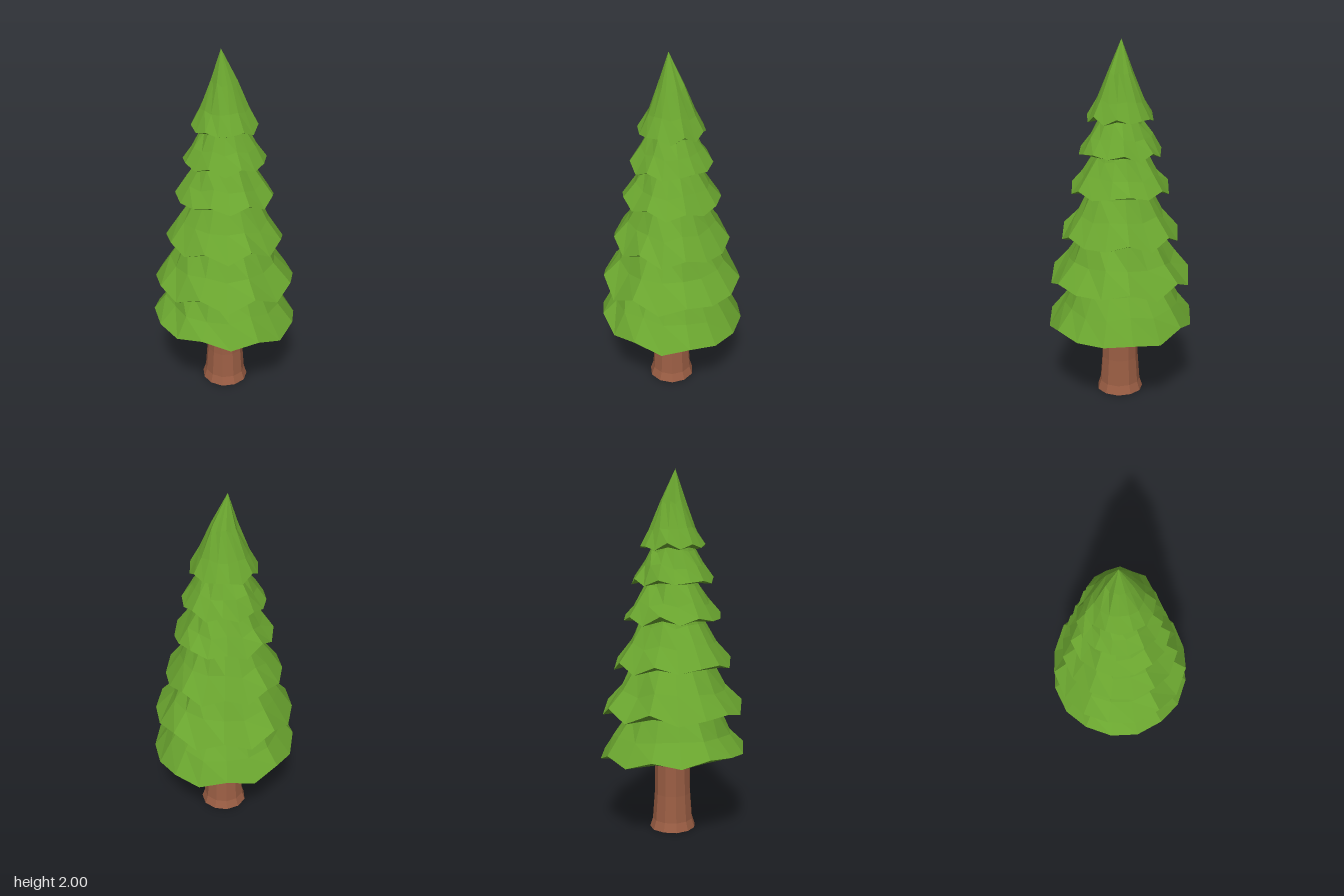
import * as THREE from 'three';

const SIDES = 16;

// Repeatable wobble in -1..1
function wobble(a, b) {
  const s = Math.sin(a * 12.99 + b * 78.23) * 43758.55;
  return (s - Math.floor(s)) * 2 - 1;
}

// Skin a stack of rings, listed from the top down; each ring is an array of Vector3
function skin(rings) {
  const n = rings[0].length;
  const pos = [];
  const tri = (a, b, c) => pos.push(...a, ...b, ...c);
  for (let r = 0; r < rings.length - 1; r++) {
    for (let i = 0; i < n; i++) {
      const j = (i + 1) % n;
      const a = rings[r][i], b = rings[r][j], c = rings[r + 1][i], d = rings[r + 1][j];
      if (a.distanceTo(b) > 1e-6) tri(a, d, b);
      if (c.distanceTo(d) > 1e-6) tri(a, c, d);
    }
  }
  const g = new THREE.BufferGeometry();
  g.setAttribute('position', new THREE.Float32BufferAttribute(pos, 3));
  g.computeVertexNormals();
  return g;
}

// Ring of points; angle runs from +z towards +x
function ring(n, offset, radius, height, cx = 0) {
  return Array.from({ length: n }, (_, i) => {
    const t = offset + (i / n) * Math.PI * 2;
    const r = radius(t, i);
    return new THREE.Vector3(cx + Math.sin(t) * r, height(t, i), Math.cos(t) * r);
  });
}

// One skirt of branches: wavy rim, folded-under lip and closed underside
function tierGeometry(t, k) {
  const offset = THREE.MathUtils.degToRad(t.turn);
  const wave = (a) => Math.cos(7 * a - Math.PI / 4) * t.wave - Math.sin(a) * t.tilt;
  const rings = [];
  t.upper.forEach(([r, y], q) => {
    rings.push(ring(SIDES, offset,
      (a, i) => r * (1 + 0.05 * wobble(i + q * 5, k)),
      (a, i) => y + (r > 0 ? wave(a) * 0.35 + 0.012 * wobble(i, k + q * 3) : 0),
      r > 0 ? 0 : -0.02));
  });
  rings.push(ring(SIDES, offset, () => t.r, (a, i) => t.y + wave(a) + 0.008 * wobble(i, k + 9)));
  rings.push(ring(SIDES, offset, () => t.r * 0.84, (a) => t.y - 0.01 + wave(a) * 0.4));
  rings.push(ring(SIDES, offset, () => 0, () => t.y + 0.01));
  return skin(rings);
}

export function createModel() {
  const model = new THREE.Group();
  model.name = 'pineTree';
  const green = new THREE.MeshStandardMaterial({ color: 0x6aa52f });
  green.name = 'needleGreen';
  const brown = new THREE.MeshStandardMaterial({ color: 0x9b5e44 });
  brown.name = 'barkBrown';
  green.flatShading = brown.flatShading = true;

  // Trunk with a flared foot
  const profile = [[0, 0.55], [0.095, 0.55], [0.1, 0.44], [0.103, 0.2], [0.114, 0.05], [0.13, 0], [0, 0]];
  const trunk = new THREE.Mesh(skin(profile.map(([r, y]) =>
    ring(11, 0.1, (a, i) => r * (1 + 0.03 * wobble(i, 2)), () => y))), brown);
  trunk.name = 'trunk';
  model.add(trunk);

  // Branch tiers from the bottom up; upper lists [radius, height] from the top down
  const tiers = [
    { r: 0.405, y: 0.445, wave: 0.022, tilt: 0.025, turn: 6.3, upper: [[0.2, 0.76], [0.265, 0.66], [0.325, 0.555]] },
    { r: 0.39, y: 0.69, wave: 0.036, tilt: 0.005, turn: 4, upper: [[0.16, 1.04], [0.22, 0.94], [0.295, 0.81]] },
    { r: 0.325, y: 0.945, wave: 0.033, tilt: 0.006, turn: 5, upper: [[0.13, 1.28], [0.18, 1.17], [0.245, 1.06]] },
    { r: 0.27, y: 1.2, wave: 0.027, tilt: 0.006, turn: 8, upper: [[0.1, 1.48], [0.145, 1.38], [0.205, 1.285]] },
    { r: 0.225, y: 1.405, wave: 0.018, tilt: 0, turn: 2, upper: [[0.08, 1.66], [0.12, 1.57], [0.17, 1.485]] },
    { r: 0.18, y: 1.59, wave: 0.018, tilt: 0, turn: 13, upper: [[0, 2], [0.07, 1.825], [0.13, 1.685]] },
  ];
  tiers.forEach((t, k) => {
    const mesh = new THREE.Mesh(tierGeometry(t, k + 1), green);
    mesh.name = `branchTier${k + 1}`;
    model.add(mesh);
  });
  return model;
}
